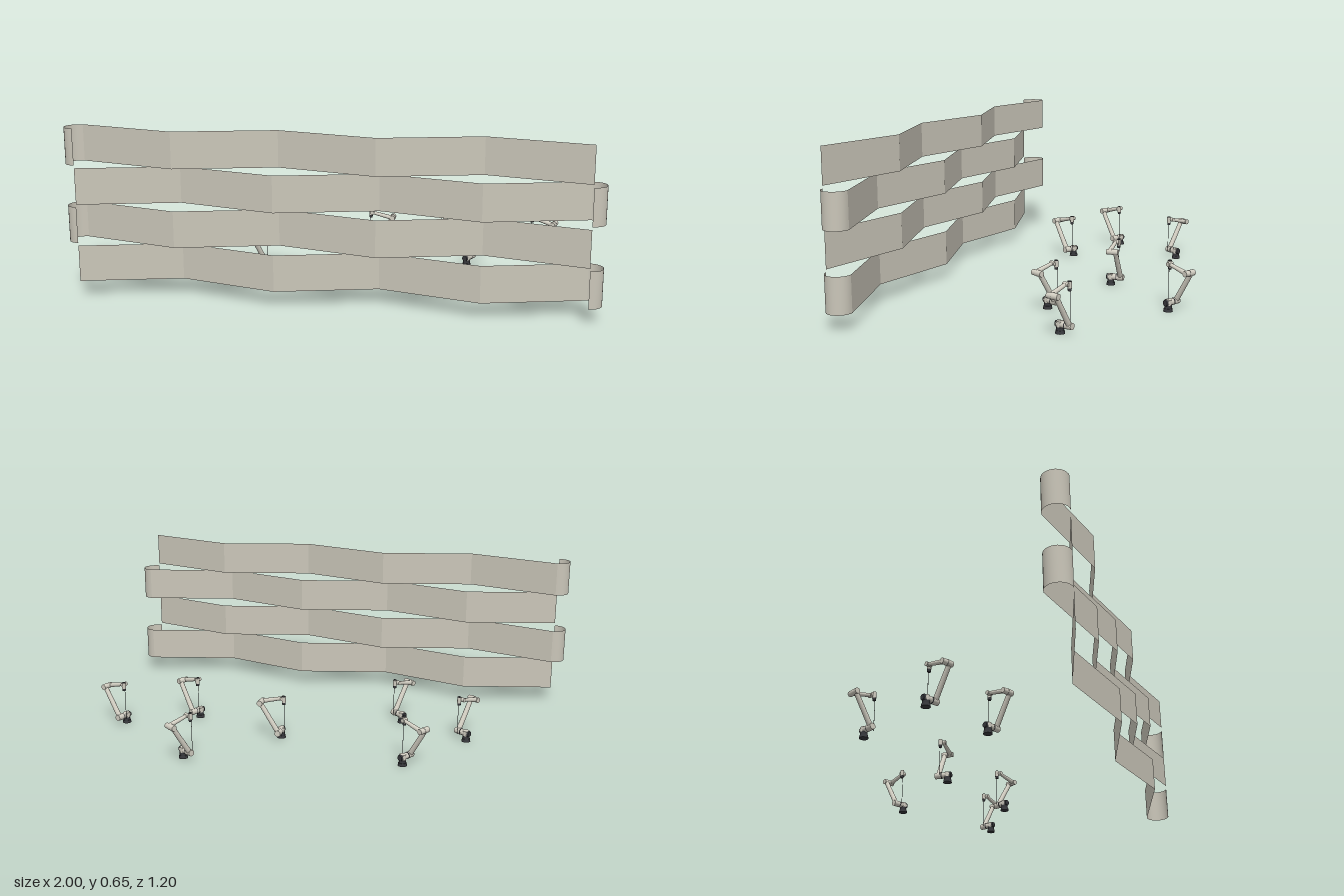
import * as THREE from 'three';
import { toCreasedNormals } from 'three/addons/utils/BufferGeometryUtils.js';

const sheet = new THREE.MeshStandardMaterial({ color: 0xcac6b9, side: THREE.DoubleSide });
sheet.name = 'warm grey sheet';
const shell = new THREE.MeshStandardMaterial({ color: 0xd2cec2 });
shell.name = 'pale grey shell';
const dark = new THREE.MeshStandardMaterial({ color: 0x37383c });
dark.name = 'dark grey joint';

const V = (x, y, z) => new THREE.Vector3(x, y, z);

// Round bar between two points
function bar(name, a, b, r0, r1, material, sides = 20) {
  const dir = b.clone().sub(a);
  const mesh = new THREE.Mesh(new THREE.CylinderGeometry(r1, r0, dir.length(), sides), material);
  mesh.position.copy(a).add(b).multiplyScalar(0.5);
  mesh.quaternion.setFromUnitVectors(V(0, 1, 0), dir.normalize());
  mesh.name = name;
  return mesh;
}

// Zigzag band with a half-round curl at one end; side = -1 curls at -x, 1 at +x
function createBand(y, side) {
  const height = 0.14, zMid = 0.545, half = 0.05, end = 0.95;
  const path = [];
  for (let i = 0; i <= 14; i++) {
    const a = Math.PI * i / 14;
    path.push([end + half * Math.sin(a), zMid + half * Math.cos(a)]);
  }
  for (let i = 1; i <= 5; i++) path.push([end - i * 0.38, zMid + (i % 2 ? half : -half)]);

  const geo = new THREE.PlaneGeometry(1, height, path.length - 1, 1);
  const pos = geo.attributes.position;
  for (let i = 0; i < pos.count; i++) {
    const [x, z] = path[i % path.length];
    pos.setXYZ(i, x * side, y + height / 2 + pos.getY(i), z);
  }
  const mesh = new THREE.Mesh(toCreasedNormals(geo, 0.3), sheet);
  mesh.name = 'zigzagBand';
  return mesh;
}

// Jointed arm: elbow points along local +x, the arm sits on the -z side of its base
function createArm() {
  const arm = new THREE.Group();
  arm.name = 'robotArm';
  const inner = -0.016, outer = -0.041;
  const elbowX = 0.076, elbowY = 0.156, wristX = -0.012, wristY = 0.177;

  // Base and shoulder
  arm.add(
    bar('baseFlange', V(0, 0, 0), V(0, 0.012, 0), 0.018, 0.016, dark),
    bar('baseColumn', V(0, 0.012, 0), V(0, 0.024, 0), 0.014, 0.014, dark),
    bar('shoulder', V(0, 0.022, 0), V(0, 0.045, 0), 0.013, 0.013, shell),
    bar('shoulderAxle', V(0, 0.034, 0.012), V(0, 0.034, -0.026), 0.0125, 0.0125, shell),
    bar('shoulderCap', V(0, 0.034, 0.017), V(0, 0.034, 0.011), 0.011, 0.0135, dark),
    bar('shoulderRing', V(0, 0.034, -0.023), V(0, 0.034, -0.028), 0.0132, 0.0132, dark),
    bar('shoulderJoint', V(0, 0.034, -0.027), V(0, 0.034, -0.054), 0.0135, 0.0125, shell),
  );

  // Upper arm, elbow and forearm
  arm.add(
    bar('upperArm', V(0, 0.034, outer), V(elbowX, elbowY, outer), 0.0105, 0.0095, shell),
    bar('elbowJoint', V(elbowX, elbowY, -0.053), V(elbowX, elbowY, -0.027), 0.0115, 0.0125, shell),
    bar('elbowRing', V(elbowX, elbowY, -0.03), V(elbowX, elbowY, -0.026), 0.0115, 0.0115, dark),
    bar('elbowInnerJoint', V(elbowX, elbowY, -0.027), V(elbowX, elbowY, -0.005), 0.0115, 0.011, shell),
    bar('forearm', V(elbowX, elbowY, inner), V(wristX, wristY, inner), 0.0095, 0.007, shell),
  );

  // Wrist joints, tool and its thin rod
  arm.add(
    bar('wristJoint', V(wristX, wristY, -0.006), V(wristX, wristY, -0.03), 0.0085, 0.0085, shell),
    bar('wristTurn', V(wristX - 0.008, wristY + 0.01, -0.027), V(wristX - 0.008, wristY - 0.014, -0.027), 0.0085, 0.008, shell),
    bar('wristCap', V(wristX - 0.008, wristY + 0.009, -0.027), V(wristX - 0.008, wristY + 0.012, -0.027), 0.008, 0.007, dark),
    bar('toolFlange', V(wristX - 0.008, wristY - 0.014, -0.027), V(wristX - 0.008, wristY - 0.024, -0.027), 0.0075, 0.0065, dark),
    bar('toolRod', V(wristX - 0.012, wristY - 0.02, -0.027), V(wristX - 0.012, 0.03, -0.027), 0.001, 0.001, dark, 8),
  );
  return arm;
}

export function createModel() {
  const model = new THREE.Group();
  model.name = 'zigzagScreenWithArms';

  // Four stacked bands, curling at alternate ends
  for (let i = 0; i < 4; i++) model.add(createBand(0.06 + i * 0.15, i % 2 ? -1 : 1));

  // Arms: base x, base z, elbow direction x, z
  const places = [
    [-0.665, -0.01, -0.5, 0.87],
    [-0.47, -0.33, -0.87, -0.5],
    [-0.37, 0.125, -0.5, 0.87],
    [0.067, -0.187, 1, 0],
    [0.367, -0.503, 0.5, -0.87],
    [0.477, -0.063, 0.89, 0.46],
    [0.753, -0.212, 0.95, 0.31],
  ];
  const arm = createArm();
  for (const [x, z, dx, dz] of places) {
    const copy = arm.clone();
    copy.position.set(x, 0, z);
    copy.rotation.y = Math.atan2(-dz, dx);
    model.add(copy);
  }
  return model;
}
